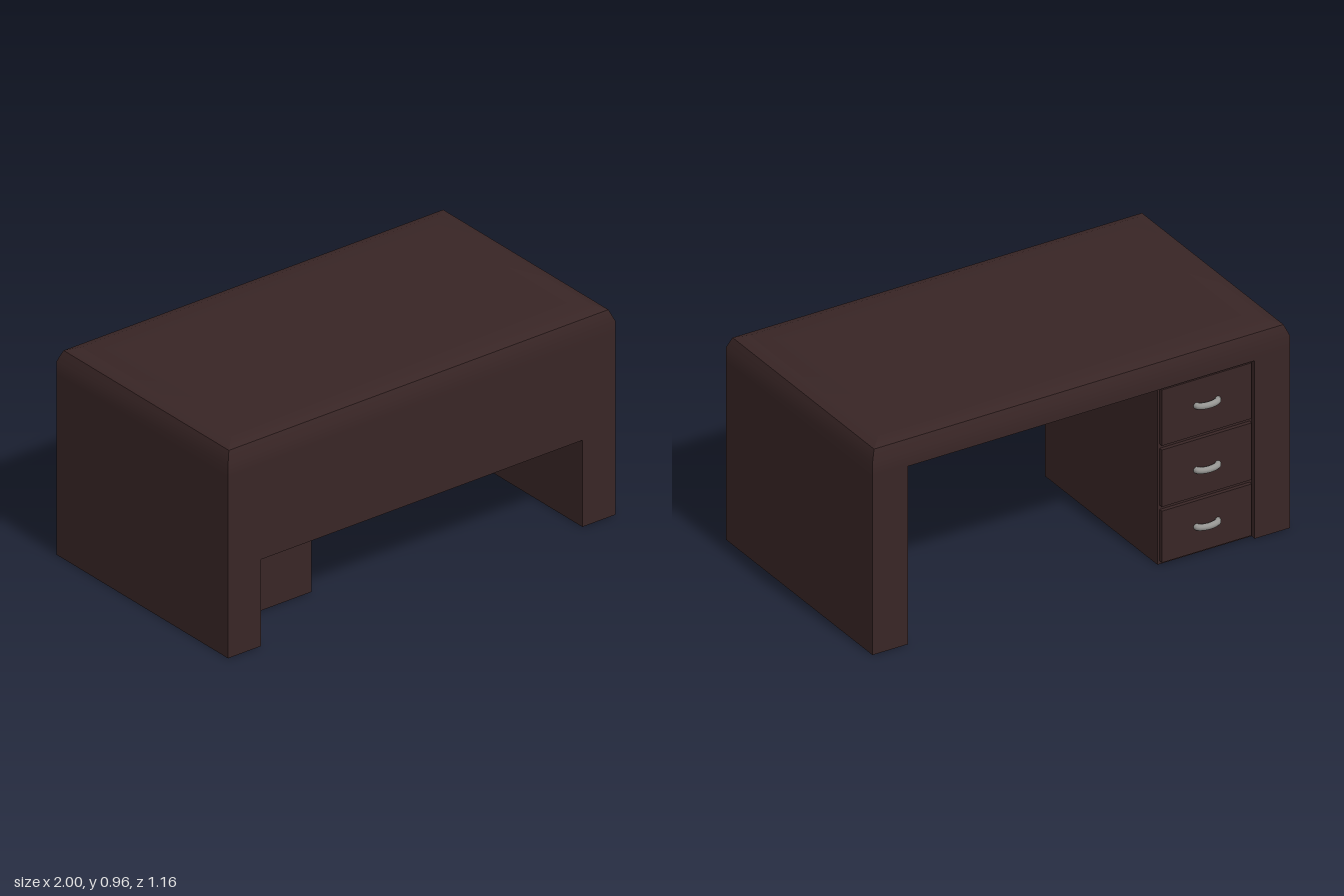
import * as THREE from 'three';
import { toCreasedNormals } from 'three/addons/utils/BufferGeometryUtils.js';

const wood = new THREE.MeshStandardMaterial({ color: 0x382525 });
wood.name = 'dark wood';
const metal = new THREE.MeshStandardMaterial({ color: 0x959592 });
metal.name = 'grey metal';

// Main extents of the desk
const X = 1, BACK = -0.55, FRONT = 0.58, INNER = 0.83, CEILING = 0.83, PANEL = 0.34;

// Box given by its lower and upper corners
function block(name, [x0, y0, z0], [x1, y1, z1]) {
  const geometry = new THREE.BoxGeometry(x1 - x0, y1 - y0, z1 - z0);
  const mesh = new THREE.Mesh(geometry, wood);
  mesh.position.set((x0 + x1) / 2, (y0 + y1) / 2, (z0 + z1) / 2);
  mesh.name = name;
  return mesh;
}

// Desktop: stacked rectangles, inset towards the top to round the edges
function desktopGeometry() {
  const rings = [[CEILING, 0], [0.895, 0], [0.945, 0.02], [0.965, 0.07], [0.965, 0.2]];
  const position = [], index = [];
  for (const [y, inset] of rings) {
    const x = X - inset, b = BACK + inset, f = FRONT - inset;
    position.push(-x, y, f, x, y, f, x, y, b, -x, y, b);
  }
  for (let r = 0; r < rings.length - 1; r++) {
    for (let i = 0; i < 4; i++) {
      const a = r * 4 + i, b = r * 4 + (i + 1) % 4;
      index.push(a, b, b + 4, a, b + 4, a + 4);
    }
  }
  const t = (rings.length - 1) * 4;
  index.push(t, t + 1, t + 2, t, t + 2, t + 3); // top
  index.push(0, 2, 1, 0, 3, 2); // underside
  const geometry = new THREE.BufferGeometry();
  geometry.setAttribute('position', new THREE.Float32BufferAttribute(position, 3));
  geometry.setIndex(index);
  return toCreasedNormals(geometry, Math.PI / 6);
}

// Bowed handle with its ends sunk into the drawer front
function handleGeometry() {
  const path = new THREE.CatmullRomCurve3([
    new THREE.Vector3(-0.05, 0, 0.02),
    new THREE.Vector3(-0.048, 0, -0.012),
    new THREE.Vector3(0, 0, -0.027),
    new THREE.Vector3(0.048, 0, -0.012),
    new THREE.Vector3(0.05, 0, 0.02),
  ]);
  return new THREE.TubeGeometry(path, 20, 0.014, 10);
}

export function createModel() {
  const desk = new THREE.Group();
  desk.name = 'desk';

  const top = new THREE.Mesh(desktopGeometry(), wood);
  top.name = 'desktop';
  desk.add(top);

  // Thick side panels and the front panel between them
  desk.add(block('leftSide', [INNER, 0, BACK], [X, CEILING, FRONT]));
  desk.add(block('rightSide', [-X, 0, BACK], [-INNER, CEILING, FRONT]));
  desk.add(block('frontPanel', [-INNER, 0.4, PANEL], [INNER, CEILING, FRONT]));

  // Drawer pedestal
  desk.add(block('pedestal', [-INNER, 0, -0.525], [-0.38, CEILING, PANEL]));

  // Three drawers with handles
  const handle = handleGeometry();
  for (const [bottom, height, grip] of [[0.015, 0.24, 0.135], [0.275, 0.265, 0.4], [0.56, 0.26, 0.7]]) {
    const drawer = new THREE.Group();
    drawer.name = 'drawer';
    drawer.add(block('drawerFront', [-0.82, bottom, -0.543], [-0.39, bottom + height, -0.525]));
    const pull = new THREE.Mesh(handle, metal);
    pull.name = 'drawerHandle';
    pull.position.set(-0.605, grip, -0.54);
    drawer.add(pull);
    desk.add(drawer);
  }
  return desk;
}
